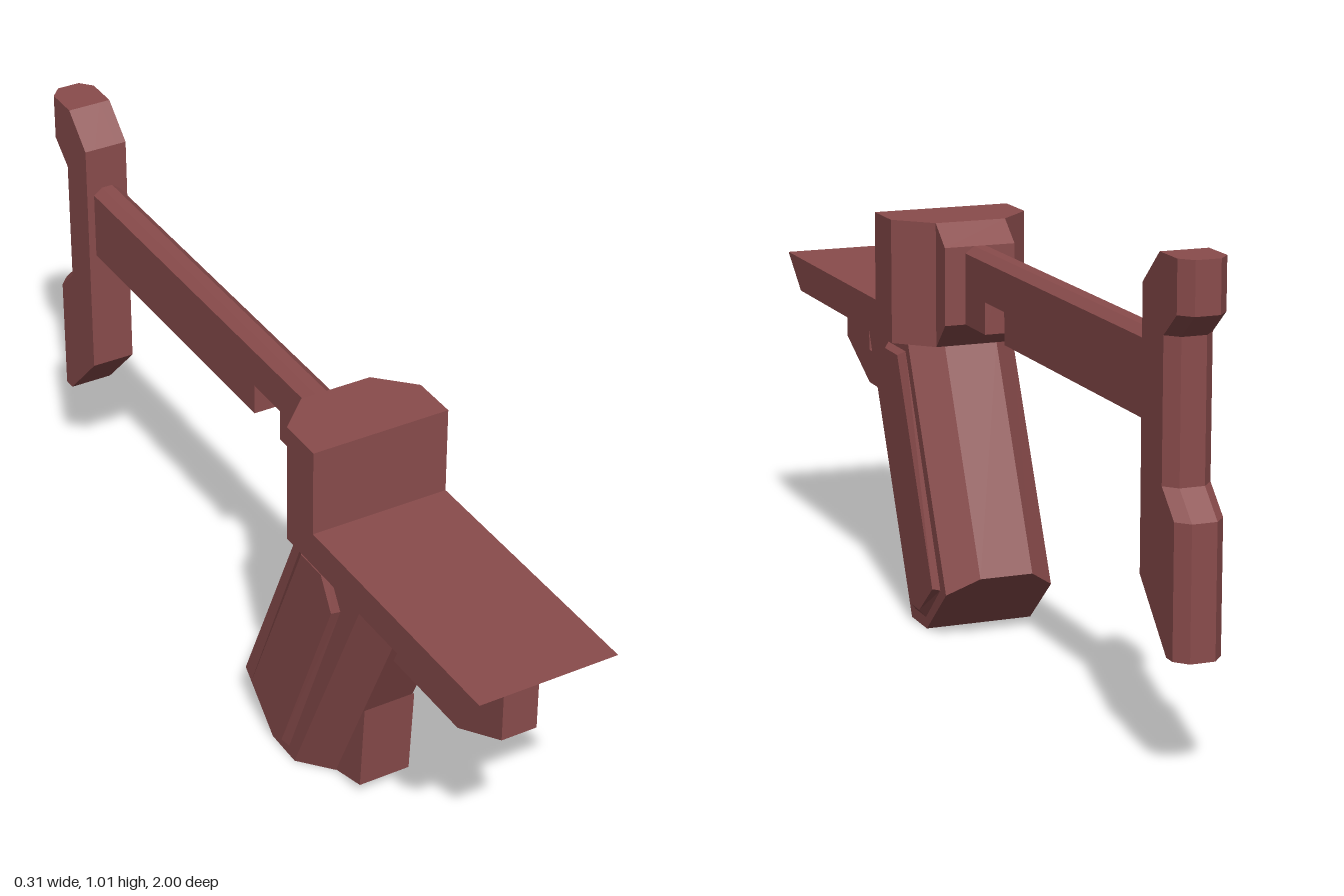
import * as THREE from 'three';

const material = new THREE.MeshStandardMaterial({ color: 0x8a4c4c, flatShading: true });

// Solid through side profiles [z, y] placed at rising x; layers = [[x, points], ...]
function loft(layers) {
  const toV2 = (pts) => pts.map(([z, y]) => new THREE.Vector2(z, y));
  const flip = THREE.ShapeUtils.isClockWise(toV2(layers[0][1]));
  const rings = layers.map(([x, pts]) => {
    const ring = pts.map(([z, y]) => [x, y, z]);
    return flip ? ring.reverse() : ring;
  });
  const pos = [];
  const tri = (a, b, c) => pos.push(...a, ...b, ...c);
  const n = rings[0].length;
  for (let k = 0; k < rings.length - 1; k++) {
    const a = rings[k], b = rings[k + 1];
    for (let i = 0; i < n; i++) {
      const j = (i + 1) % n;
      tri(a[i], b[j], a[j]);
      tri(a[i], b[i], b[j]);
    }
  }
  const cap = (r, out) => {
    const faces = THREE.ShapeUtils.triangulateShape(r.map(([, y, z]) => new THREE.Vector2(z, y)), []);
    for (const [a, b, c] of faces) out ? tri(r[a], r[c], r[b]) : tri(r[a], r[b], r[c]);
  };
  cap(rings[0], false);
  cap(rings[rings.length - 1], true);
  const geo = new THREE.BufferGeometry();
  geo.setAttribute('position', new THREE.Float32BufferAttribute(pos, 3));
  geo.computeVertexNormals();
  return geo;
}

const mirrored = (layers) => layers.map(([x, pts]) => [-x, pts]).reverse();
// Symmetric solid from its +x half, inner layer first
const symmetric = (...half) => loft([...mirrored(half), ...half]);

export function createModel() {
  const model = new THREE.Group();
  const add = (name, geo) => {
    const mesh = new THREE.Mesh(geo, material);
    mesh.name = name;
    model.add(mesh);
  };

  // Flat front deck with a raked nose
  add('deck', symmetric([0.155, [[0.38, 0.618], [0.91, 0.618], [1, 0.695], [0.38, 0.695]]]));

  // Rear block with chamfered back corners
  const block = (back) => [[back, 0.618], [0.38, 0.618], [0.38, 0.89], [back, 0.89]];
  add('rearBlock', symmetric([0.08, block(0.2)], [0.155, block(0.275)]));
  add('collar', symmetric([0.08, [[0.2, 0.618], [0.2, 0.89], [0.145, 0.845], [0.145, 0.675]]]));

  // Stock bar with bevelled top and a notch underneath
  const bar = (top) => [[0.15, 0.675], [0.15, top], [-0.83, top], [-0.83, 0.675],
    [-0.08, 0.675], [-0.08, 0.745], [0.03, 0.745], [0.03, 0.675]];
  add('stockBar', symmetric([0.013, bar(0.845)], [0.033, bar(0.83)]));

  // Shoulder plate, bevelled along its rear edges
  const plate = (d) => [[-0.82, 0.945], [-0.895, 1.015], [-1 + d, 1.015], [-1 + d, 0.91],
    [-0.943 + d, 0.862], [-0.943 + d, 0.575], [-1 + d, 0.52], [-1 + d, 0.25],
    [-0.945, 0.25], [-0.82, 0.38]];
  add('shoulderPlate', symmetric([0.026, plate(0)], [0.05, plate(0.027)]));

  // Raked grip with bevelled front and back
  add('grip', symmetric(
    [0.06, [[0.6, 0.618], [0.2, 0.618], [-0.01, 0.15], [0.155, 0], [0.32, 0]]],
    [0.122, [[0.53, 0.618], [0.265, 0.618], [0.035, 0.108], [0.155, 0], [0.25, 0]]],
  ));
  add('gripToe', symmetric([0.06, [[0.434, 0.243], [0.42, 0.032], [0.315, 0], [0.25, 0.05]]]));

  // Raised side panels on the grip
  const panel = [
    [0.115, [[0.435, 0.525], [0.39, 0.596], [0.28, 0.596], [0.07, 0.11], [0.16, 0.025], [0.227, 0.025]]],
    [0.122, [[0.435, 0.525], [0.39, 0.596], [0.28, 0.596], [0.07, 0.11], [0.16, 0.025], [0.227, 0.025]]],
    [0.135, [[0.42, 0.515], [0.378, 0.585], [0.298, 0.585], [0.085, 0.11], [0.168, 0.04], [0.216, 0.04]]],
  ];
  add('leftGripPanel', loft(panel));
  add('rightGripPanel', loft(mirrored(panel)));

  // Trigger guard
  add('triggerGuard', symmetric([0.04, [[0.91, 0.62], [0.91, 0.5], [0.755, 0.42], [0.47, 0.42],
    [0.47, 0.498], [0.755, 0.498], [0.755, 0.62]]]));

  return model;
}
